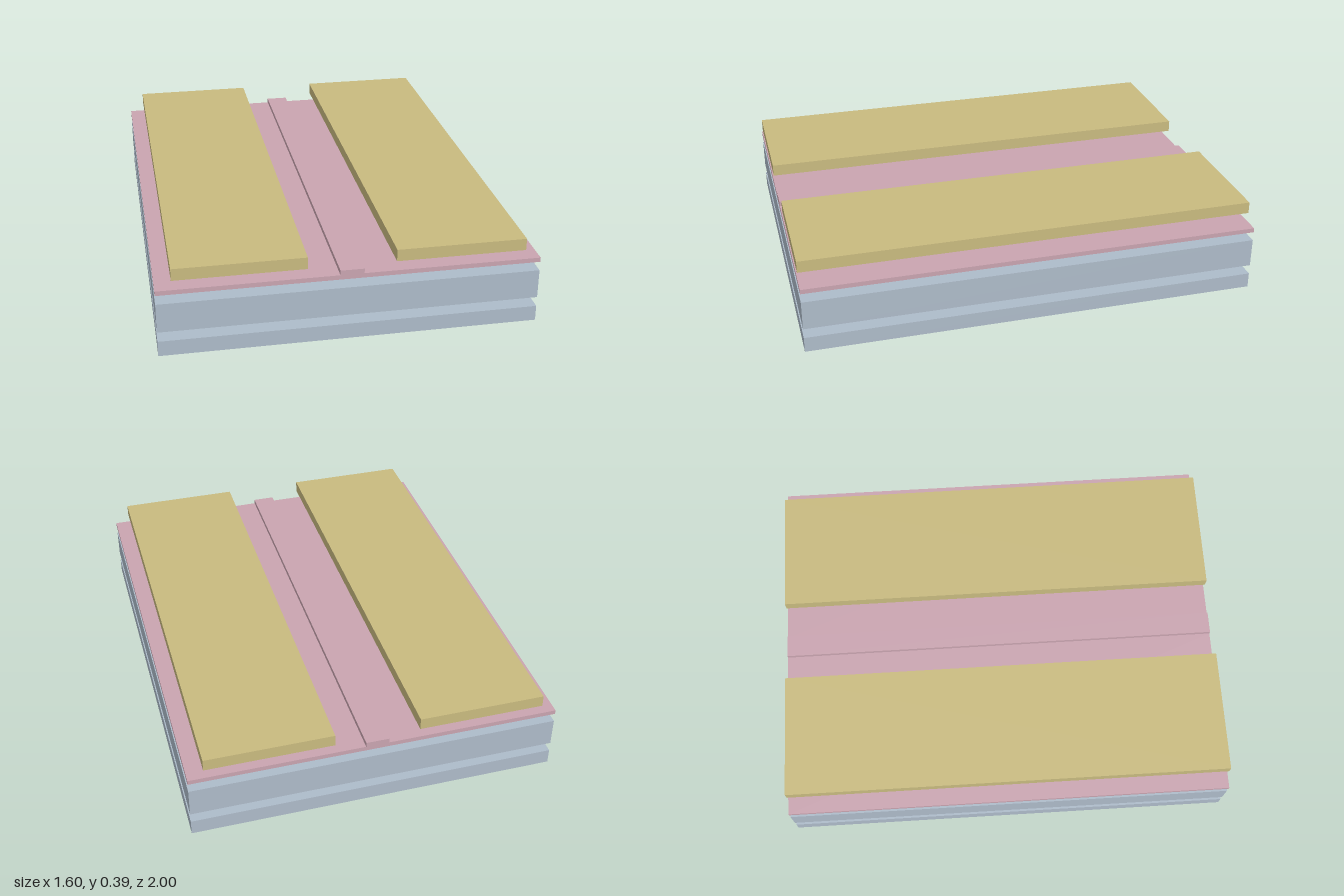
import * as THREE from 'three';

const LENGTH = 2;

function material(name, color) {
  const m = new THREE.MeshStandardMaterial({ color });
  m.name = name;
  return m;
}

export function createModel() {
  const model = new THREE.Group();
  model.name = 'layeredStack';
  const blue = material('greyBlue', 0xadbbc9);
  const pink = material('dustyPink', 0xc9a4b0);
  const gold = material('paleGold', 0xc8ba7f);

  // Full-length slab between two x positions and two heights
  function slab(name, mat, x0, x1, y0, y1) {
    const mesh = new THREE.Mesh(new THREE.BoxGeometry(x1 - x0, y1 - y0, LENGTH), mat);
    mesh.position.set((x0 + x1) / 2, (y0 + y1) / 2, 0);
    mesh.name = name;
    model.add(mesh);
  }

  // Two base layers separated by a gap
  slab('bottomLayer', blue, -0.8, 0.8, 0, 0.068);
  slab('thickLayer', blue, -0.8, 0.8, 0.111, 0.24);

  // Thin sheet with a raised central ridge, one stepped profile
  const profile = new THREE.Shape([
    [-0.8, 0.28], [0.8, 0.28], [0.8, 0.3], [0.05, 0.3],
    [0.05, 0.321], [-0.05, 0.321], [-0.05, 0.3], [-0.8, 0.3],
  ].map(([x, y]) => new THREE.Vector2(x, y)));
  const sheetGeometry = new THREE.ExtrudeGeometry(profile, { depth: LENGTH, bevelEnabled: false });
  sheetGeometry.translate(0, 0, -LENGTH / 2);
  const sheet = new THREE.Mesh(sheetGeometry, pink);
  sheet.name = 'ridgedSheet';
  model.add(sheet);

  // Pair of floating top strips
  slab('leftTopStrip', gold, 0.184, 0.733, 0.342, 0.394);
  slab('rightTopStrip', gold, -0.733, -0.184, 0.342, 0.394);

  return model;
}
